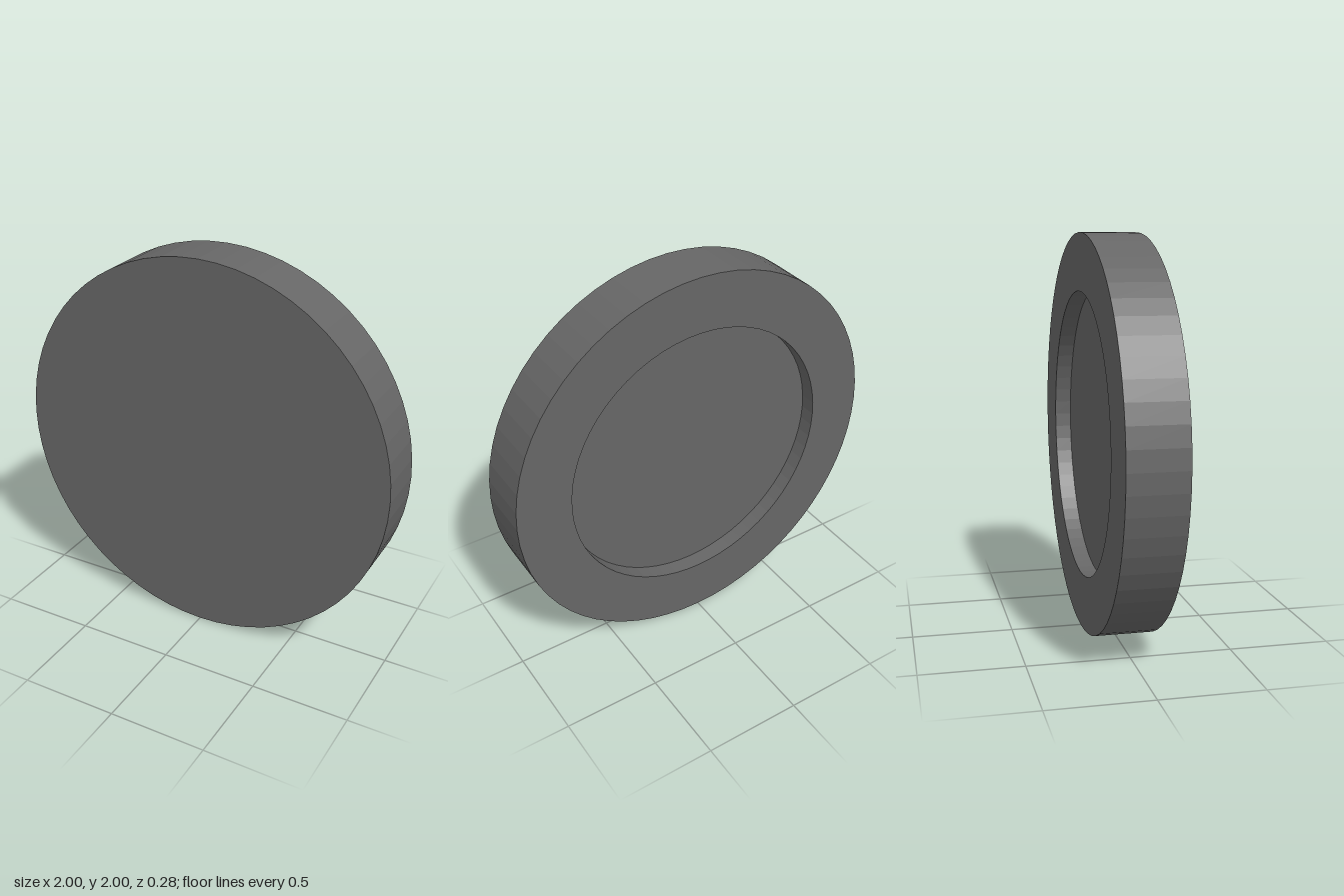
import * as THREE from 'three';

const RADIUS = 1;
const HALF = 0.1425; // half the thickness
const RECESS_RADIUS = 0.715;
const RECESS_DEPTH = 0.085;
const SIDES = 64;

export function createModel() {
  const group = new THREE.Group();
  group.name = 'recessedDisc';

  // Half section of the disc, from the recess floor around the rim to the front centre
  const floor = -HALF + RECESS_DEPTH;
  const profile = [
    [0, floor],
    [RECESS_RADIUS, floor],
    [RECESS_RADIUS, -HALF],
    [RADIUS, -HALF],
    [RADIUS, HALF],
    [0, HALF],
  ].map(([r, h]) => new THREE.Vector2(r, h));

  // Solid disc with a flat front and a round recess in the back
  const geometry = new THREE.LatheGeometry(profile, SIDES);
  geometry.rotateX(Math.PI / 2);
  geometry.translate(0, RADIUS, 0);

  // Dark grey, faceted
  const material = new THREE.MeshStandardMaterial({ color: 0x666666, flatShading: true });
  const disc = new THREE.Mesh(geometry, material);
  disc.name = 'disc';
  group.add(disc);

  return group;
}
